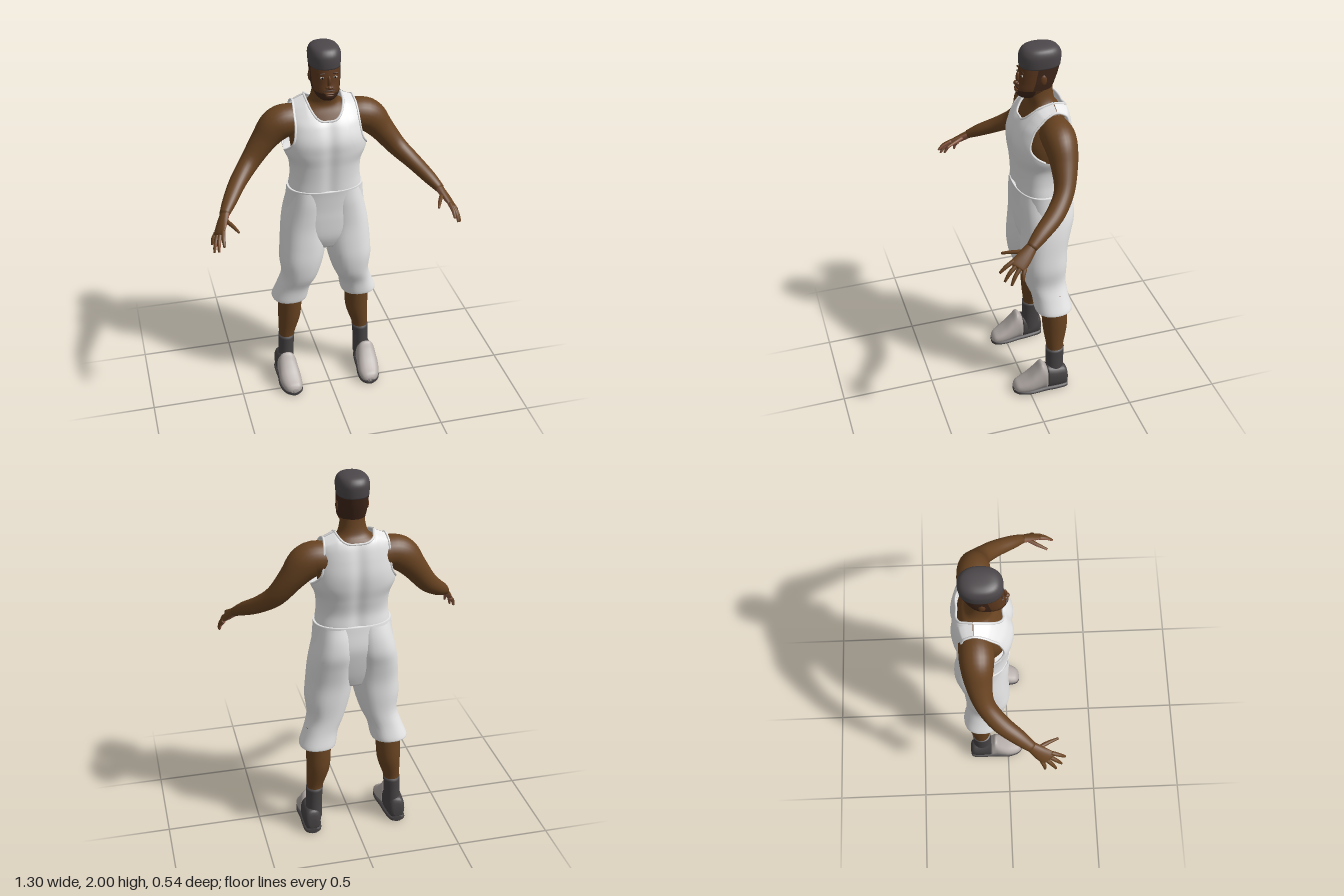
import * as THREE from 'three';

const mat = (name, color, side = THREE.FrontSide) => {
  const m = new THREE.MeshStandardMaterial({ color, side });
  m.name = name;
  return m;
};
const V = (x, y, z) => new THREE.Vector3(x, y, z);
const TAU = Math.PI * 2;

// Catmull-Rom sample of a table of rows at fractional index f
function sample(rows, f) {
  const last = rows.length - 1;
  const i = Math.min(Math.floor(f), last - 1), t = f - i;
  const p = k => rows[Math.max(0, Math.min(last, k))];
  return rows[0].map((_, c) => {
    const a = p(i - 1)[c], b = p(i)[c], d = p(i + 1)[c], e = p(i + 2)[c];
    return b + 0.5 * t * (d - a + t * (2 * a - 5 * b + 4 * d - e + t * (3 * (b - d) + e - a)));
  });
}
const refine = (rows, k = 4) => Array.from({ length: (rows.length - 1) * k + 1 }, (_, i) => sample(rows, i / k));
// Row at height y, where column 0 is the height
function atHeight(rows, y) {
  let i = 0;
  while (i < rows.length - 2 && rows[i + 1][0] < y) i++;
  const t = (y - rows[i][0]) / (rows[i + 1][0] - rows[i][0]);
  return sample(rows, i + Math.max(0, Math.min(1, t)));
}

// Surface through a list of point rings
function surface(rings, closed = true) {
  const n = rings[0].length, pos = [], idx = [];
  rings.forEach(r => r.forEach(p => pos.push(p.x, p.y, p.z)));
  for (let j = 0; j < rings.length - 1; j++)
    for (let i = 0; i < (closed ? n : n - 1); i++) {
      const a = j * n + i, b = j * n + (i + 1) % n;
      idx.push(a, b, b + n, a, b + n, a + n);
    }
  const g = new THREE.BufferGeometry();
  g.setAttribute('position', new THREE.Float32BufferAttribute(pos, 3));
  g.setIndex(idx);
  g.computeVertexNormals();
  return g;
}
const pw = (c, e) => Math.sign(c) * Math.abs(c) ** (2 / e);
const angles = (a0, a1, n) => {
  const full = a1 - a0 > TAU - 0.01;
  return Array.from({ length: full ? n : n + 1 }, (_, i) => a0 + (a1 - a0) * i / n);
};

// Upright loft; rows are [y, halfWidth, zFront, zBack, xCentre]
function upright(rows, { a0 = 0, a1 = TAU, n = 32, e = 2.3, grow = 0, top = false, bottom = false } = {}) {
  const fine = refine(rows.map(r => (r.length < 5 ? [...r, 0] : r)));
  const ring = ([y, w, f, b, x], k = 1) => angles(a0, a1, n).map(a => V(
    x + k * (w + grow) * pw(Math.sin(a), e), y, (f + b) / 2 + k * ((f - b) / 2 + grow) * pw(Math.cos(a), e)));
  const rings = fine.map(r => ring(r));
  if (bottom) rings.unshift(ring(fine[0], 0.001));
  if (top) rings.push(ring(fine[fine.length - 1], 0.001));
  return surface(rings, a1 - a0 > TAU - 0.01);
}

// Limb loft along a path; rows are [x, y, z, radiusAlongUp, radiusAcross]
function limb(rows, up, { a0 = 0, a1 = TAU, n = 20 } = {}) {
  const fine = refine(rows), c = fine.map(r => V(r[0], r[1], r[2]));
  const rings = fine.map((r, i) => {
    const T = c[Math.min(i + 1, c.length - 1)].clone().sub(c[Math.max(i - 1, 0)]).normalize();
    const N = up.clone().addScaledVector(T, -T.dot(up)).normalize(), B = T.clone().cross(N);
    return angles(a0, a1, n).map(a => c[i].clone().addScaledVector(N, r[3] * Math.cos(a)).addScaledVector(B, r[4] * Math.sin(a)));
  });
  const shrink = (ring, p) => ring.map(q => p.clone().lerp(q, 0.01));
  rings.unshift(shrink(rings[0], c[0]));
  rings.push(shrink(rings[rings.length - 1], c[c.length - 1]));
  return surface(rings, a1 - a0 > TAU - 0.01);
}

// Loft along z; rows are [z, xCentre, halfWidth, yBottom, yTop]
function lengthwise(rows) {
  const ring = ([z, x, w, b, t], k = 1) => angles(0, TAU, 24).map(a => V(
    x + k * w * pw(Math.cos(a), 2.6), (b + t) / 2 + k * (t - b) / 2 * pw(Math.sin(a), 2.3), z));
  return surface([ring(rows[0], 0.001), ...rows.map(r => ring(r)), ring(rows[rows.length - 1], 0.001)]);
}

const blob = (x, y, z, sx, sy, sz) => new THREE.SphereGeometry(1, 16, 10).scale(sx, sy, sz).translate(x, y, z);

export function createModel() {
  const model = new THREE.Group();
  model.name = 'standingFigure';
  const cloth = mat('whiteCloth', 0xe6e6e6, THREE.DoubleSide);
  const skin = mat('brownSkin', 0x684321);
  const face = mat('faceSkin', 0x5e391e);
  const palm = mat('palmSkin', 0x94604a);
  const hair = mat('hairGrey', 0x4c474a);
  const beard = mat('beardBrown', 0x40271a, THREE.DoubleSide);
  const eyeWhite = mat('eyeWhite', 0xb8aca0);
  const black = mat('pupilBlack', 0x161210);
  const dark = mat('sockGrey', 0x474344);
  const light = mat('shoeGrey', 0xb2aaa6);

  const add = (name, geo, m) => {
    const mesh = new THREE.Mesh(geo, m);
    mesh.name = name;
    model.add(mesh);
  };
  // Adds a part on the left and its mirror image on the right
  const pair = (name, geo, m) => {
    add(name + 'Left', geo, m);
    const g = geo.clone().scale(-1, 1, 1), ix = g.index.array;
    for (let i = 0; i < ix.length; i += 3) [ix[i], ix[i + 1]] = [ix[i + 1], ix[i]];
    g.computeVertexNormals();
    add(name + 'Right', g, m);
  };

  // Chest, shoulders and neck
  add('bodyAndNeck', upright([[1.4, .165, .005, -.235], [1.5, .18, .01, -.245], [1.58, .172, -.015, -.24], [1.64, .152, -.045, -.23],
    [1.675, .115, -.065, -.215], [1.70, .08, -.068, -.195], [1.74, .064, -.058, -.185], [1.80, .058, -.06, -.18]]), skin);

  // Tank top; rows are [y, bodyHalfWidth, zFront, zBack, panelHalfWidth]
  const tank = [[1.225, .192, .015, -.245, .192], [1.30, .183, .018, -.24, .183], [1.38, .188, .025, -.255, .188],
    [1.45, .215, .034, -.27, .215], [1.52, .215, .035, -.275, .178], [1.60, .205, .005, -.265, .165],
    [1.66, .2, -.04, -.25, .163], [1.70, .2, -.085, -.225, .16], [1.72, .2, -.158, -.162, .156]];
  const neckEdge = 0.62;
  const tankPoint = (s, v, front) => {
    const q = Math.min(1, Math.abs(s) / neckEdge), low = front ? 1.62 : 1.675;
    const y = 1.225 + v * (low + (1.72 - low) * q ** 3 - 1.225);
    const [, A, f, b, W] = atHeight(tank, y);
    const x = s * Math.min(W, A), D = (f - b) / 2;
    const bow = Math.max(0, 1 - (Math.abs(x) / A) ** 2.4) ** (1 / 2.4);
    const groove = 1 - 0.07 * Math.exp(-((x / 0.035) ** 2));
    const slope = 0.025 * Math.max(0, (Math.abs(s) - neckEdge) / (1 - neckEdge)) * THREE.MathUtils.smoothstep(y, 1.6, 1.72);
    return V(x, y - slope, (f + b) / 2 + (front ? 1 : -1) * D * bow * groove);
  };
  for (const front of [true, false]) {
    const rings = Array.from({ length: 41 }, (_, j) => Array.from({ length: 57 }, (_, i) =>
      tankPoint(Math.sin((i / 28 - 1) * Math.PI / 2) * (front ? 1 : -1), j / 40, front)));
    add(front ? 'tankFront' : 'tankBack', surface(rings, false), cloth);
  }
  // Rolled neck and armhole edges
  const edge = pts => new THREE.TubeGeometry(new THREE.CatmullRomCurve3(pts), 80, 0.006, 6);
  for (const front of [true, false])
    add('neckTrim', edge(Array.from({ length: 25 }, (_, i) => tankPoint((i / 12 - 1) * neckEdge, 1, front))), cloth);
  const armhole = front => Array.from({ length: 13 }, (_, i) => tankPoint(1, 0.47 + 0.53 * i / 12, front));
  pair('armholeTrim', edge([...armhole(true), ...armhole(false).reverse().slice(1)]), cloth);

  // Shorts
  add('shortsHips', upright([[.88, .1, -.03, -.2], [.95, .19, -.005, -.225], [1.05, .217, .004, -.25], [1.12, .212, .007, -.26],
    [1.2, .203, .014, -.252], [1.238, .2, .019, -.248]], { top: true, bottom: true, n: 40 }), cloth);
  pair('shortsLeg', upright([[.57, .084, -.06, -.23, .193], [.54, .09, -.052, -.238, .194], [.545, .097, -.045, -.245, .194],
    [.62, .09, -.035, -.23, .172], [.70, .097, -.005, -.225, .143], [.80, .117, .01, -.23, .133], [.90, .122, .008, -.235, .122],
    [1.0, .118, .003, -.255, .117], [1.08, .112, .005, -.273, .108], [1.16, .1, .008, -.268, .1], [1.23, .09, .005, -.25, .095]]), cloth);

  // Lower legs and socks
  pair('shin', upright([[.25, .042, -.112, -.2, .215], [.29, .045, -.108, -.202, .212], [.38, .06, -.095, -.222, .197],
    [.46, .065, -.088, -.226, .192], [.64, .066, -.075, -.215, .188]], { e: 2 }), skin);
  pair('sock', upright([[.08, .045, -.1, -.205, .222], [.18, .043, -.104, -.203, .219], [.27, .045, -.103, -.206, .215]],
    { e: 2, top: true }), dark);

  // Shoes: dark heel, light front and a thin dark sole
  const shoe = refine([[-.222, .237, .022, .04, .09], [-.207, .237, .042, .015, .14], [-.15, .234, .05, .012, .15],
    [-.10, .231, .052, .012, .165], [-.072, .23, .053, .012, .192], [-.04, .229, .057, .012, .155], [0, .227, .06, .012, .112],
    [.04, .223, .055, .012, .083], [.07, .22, .042, .013, .065], [.084, .219, .02, .02, .045]]);
  pair('shoeHeel', lengthwise(shoe.slice(0, 13)), dark);
  pair('shoeFront', lengthwise(shoe.slice(12)), light);
  pair('shoeSole', lengthwise(shoe.map(([z, x, w]) => [z, x, w + 0.002, 0.004, 0.036])), dark);

  // Arms
  pair('arm', limb([[.12, 1.585, -.155, .08, .08], [.2, 1.59, -.15, .085, .085], [.255, 1.56, -.15, .085, .08],
    [.315, 1.49, -.145, .066, .066], [.39, 1.395, -.12, .053, .05], [.465, 1.325, -.05, .042, .047],
    [.525, 1.27, .04, .034, .039], [.565, 1.23, .102, .023, .027]], V(.6, .8, .2), { n: 28 }), skin);

  // Hands: dark backs, paler undersides
  const handUp = V(.73, .67, .11);
  const finger = (base, mid, tip) => [[...base, .011, .011], [...mid, .010, .010], [...tip, .006, .006]];
  const digits = {
    palm: [[.555, 1.24, .088, .022, .025], [.585, 1.2, .14, .018, .037], [.605, 1.172, .18, .013, .041], [.61, 1.166, .188, .008, .036]],
    thumb: finger([.57, 1.215, .125], [.54, 1.207, .18], [.515, 1.195, .235]),
    indexFinger: finger([.586, 1.19, .195], [.593, 1.168, .237], [.594, 1.14, .267]),
    middleFinger: finger([.599, 1.177, .182], [.615, 1.143, .225], [.62, 1.105, .25]),
    ringFinger: finger([.61, 1.167, .168], [.63, 1.13, .202], [.64, 1.09, .222]),
    littleFinger: finger([.619, 1.158, .15], [.636, 1.133, .163], [.643, 1.105, .166]),
  };
  for (const [name, rows] of Object.entries(digits)) {
    pair(name + 'Back', limb(rows, handUp, { a0: -Math.PI / 2, a1: Math.PI / 2, n: 8 }), skin);
    pair(name + 'Underside', limb(rows, handUp, { a0: Math.PI / 2, a1: Math.PI * 1.5, n: 8 }), palm);
  }

  // Head
  const jaw = [[1.733, .032, -.022, -.13], [1.75, .05, -.004, -.155], [1.78, .065, .001, -.178]];
  const skull = [[1.82, .071, -.008, -.192], [1.86, .073, -.012, -.205], [1.90, .075, -.018, -.215]];
  add('head', upright([...jaw, ...skull, [1.95, .072, -.026, -.212]], { bottom: true, top: true }), face);
  add('beard', upright(jaw, { a0: -1.5, a1: 1.5, grow: .003 }), beard);
  add('hairFade', upright([jaw[2], ...skull], { a0: 1.35, a1: TAU - 1.35, grow: .003 }), beard);
  add('hairCrown', upright([[1.895, .078, -.015, -.219], [1.93, .081, -.013, -.223], [1.96, .08, -.017, -.222],
    [1.985, .068, -.035, -.205], [1.997, .042, -.065, -.175], [2.0, .012, -.105, -.135]], { bottom: true, top: true }), hair);

  // Facial features
  pair('ear', blob(.074, 1.838, -.115, .009, .028, .017), face);
  pair('eye', blob(.032, 1.856, -.019, .013, .006, .005), eyeWhite);
  pair('pupil', blob(.032, 1.856, -.0155, .005, .0055, .003), black);
  pair('eyebrow', blob(.033, 1.876, -.019, .018, .004, .005), beard);
  add('noseBridge', blob(0, 1.835, -.008, .010, .032, .011), face);
  add('noseTip', blob(0, 1.81, .001, .013, .011, .014), face);
  pair('nostril', blob(.012, 1.808, -.004, .009, .008, .010), face);
  add('moustache', blob(0, 1.793, -.002, .03, .004, .007), beard);
  add('upperLip', blob(0, 1.778, .001, .025, .005, .007), face);
  add('lowerLip', blob(0, 1.768, .001, .021, .005, .007), face);

  return model;
}
